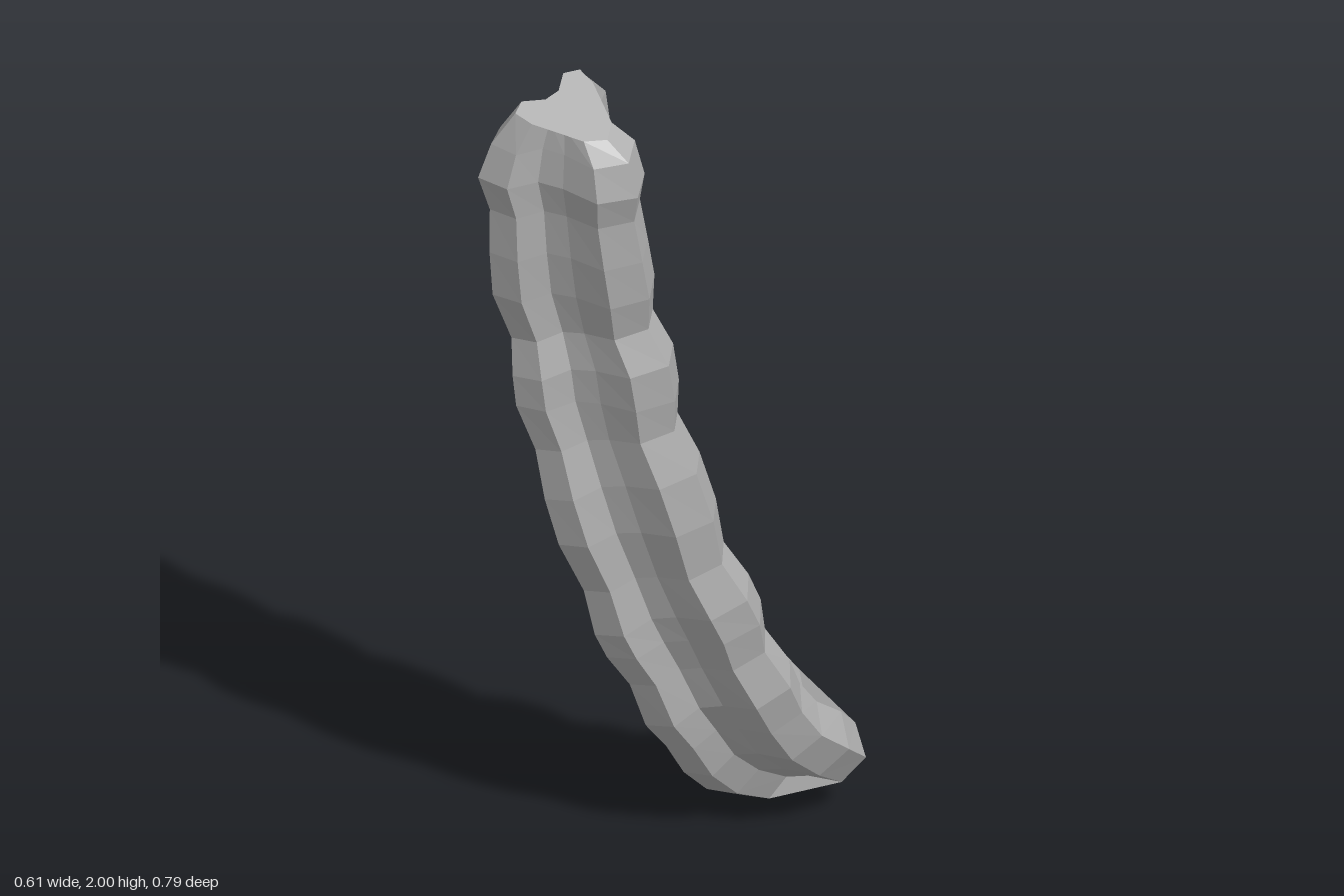
import * as THREE from 'three';

// Three-lobed cross-section: [sideways, forwards], starting at the right lobe tip
const half = [[0.74, 0.39], [0.25, 0.43], [-0.05, 0.52], [-0.22, 0.85], [-0.62, 0.9], [-0.76, 0.58], [-0.5, 0.18]];
const SECTION = [[1, 0], ...half, ...half.slice().reverse().map(([u, v]) => [u, -v])];
const GROOVES = [2, 3, 12, 13]; // notches bridged over by the flat end caps
const TWIST = 0.26; // turn of the section at the top, fading to none at the bottom

// Rings from top to bottom: x, y, z, radius
const RINGS = [
  [-0.125, 1.963, 0.27, 0.115], [-0.13, 1.9, 0.25, 0.17], [-0.136, 1.81, 0.24, 0.197],
  [-0.137, 1.73, 0.229, 0.178], [-0.137, 1.62, 0.211, 0.188], [-0.137, 1.51, 0.189, 0.193],
  [-0.129, 1.4, 0.171, 0.171], [-0.107, 1.31, 0.157, 0.194], [-0.103, 1.22, 0.144, 0.195],
  [-0.088, 1.12, 0.136, 0.174], [-0.058, 1.01, 0.116, 0.192], [-0.033, 0.89, 0.093, 0.194],
  [-0.009, 0.77, 0.067, 0.176], [0.018, 0.67, 0.032, 0.197], [0.034, 0.6, 0.007, 0.195],
  [0.052, 0.52, -0.016, 0.174], [0.078, 0.42, -0.061, 0.189], [0.093, 0.35, -0.098, 0.177],
  [0.104, 0.28, -0.148, 0.184], [0.112, 0.21, -0.235, 0.193], [0.12, 0.145, -0.32, 0.174],
];
const TOP_AXIS = new THREE.Vector3(0.28, 1, 0.22);
const BOTTOM_AXIS = new THREE.Vector3(-0.03, 0.45, 0.89);

// Place the section on each ring, square to the centre line
function ringPoints() {
  const centres = RINGS.map(([x, y, z]) => new THREE.Vector3(x, y, z));
  const last = RINGS.length - 1;
  return RINGS.map((ring, i) => {
    const t = (i === 0 ? TOP_AXIS.clone()
      : i === last ? BOTTOM_AXIS.clone()
      : centres[i - 1].clone().sub(centres[i + 1])).normalize();
    const u = new THREE.Vector3(1, 0, 0).addScaledVector(t, -t.x).normalize();
    u.applyAxisAngle(t, -TWIST * (1 - i / last));
    const v = u.clone().cross(t);
    return SECTION.map(([a, b]) => centres[i].clone()
      .addScaledVector(u, a * ring[3]).addScaledVector(v, b * ring[3]));
  });
}

function meshFrom(name, triangles, material) {
  const geometry = new THREE.BufferGeometry().setFromPoints(triangles);
  geometry.computeVertexNormals(); // unshared corners give flat facets
  const mesh = new THREE.Mesh(geometry, material);
  mesh.name = name;
  return mesh;
}

export function createModel() {
  const grey = new THREE.MeshStandardMaterial({ color: 0xb0b0b0, flatShading: true, side: THREE.DoubleSide });
  grey.name = 'grey';
  const group = new THREE.Group();
  group.name = 'lobedTube';
  const rings = ringPoints();
  const n = SECTION.length;

  // Segmented wall
  const wall = [];
  for (let i = 0; i < rings.length - 1; i++) {
    for (let j = 0; j < n; j++) {
      const k = (j + 1) % n;
      const a = rings[i][j], b = rings[i][k], c = rings[i + 1][j], d = rings[i + 1][k];
      wall.push(a, b, c, b, d, c);
    }
  }
  group.add(meshFrom('tubeWall', wall, grey));

  // Flat ends, fanned from the right lobe tip
  const cap = (ring, up) => {
    const p = ring.filter((_, j) => !GROOVES.includes(j));
    const tris = [];
    for (let j = 1; j < p.length - 1; j++) {
      tris.push(p[0], ...(up ? [p[j + 1], p[j]] : [p[j], p[j + 1]]));
    }
    return tris;
  };
  group.add(meshFrom('topCap', cap(rings[0], true), grey));
  group.add(meshFrom('bottomCap', cap(rings[rings.length - 1], false), grey));
  return group;
}
